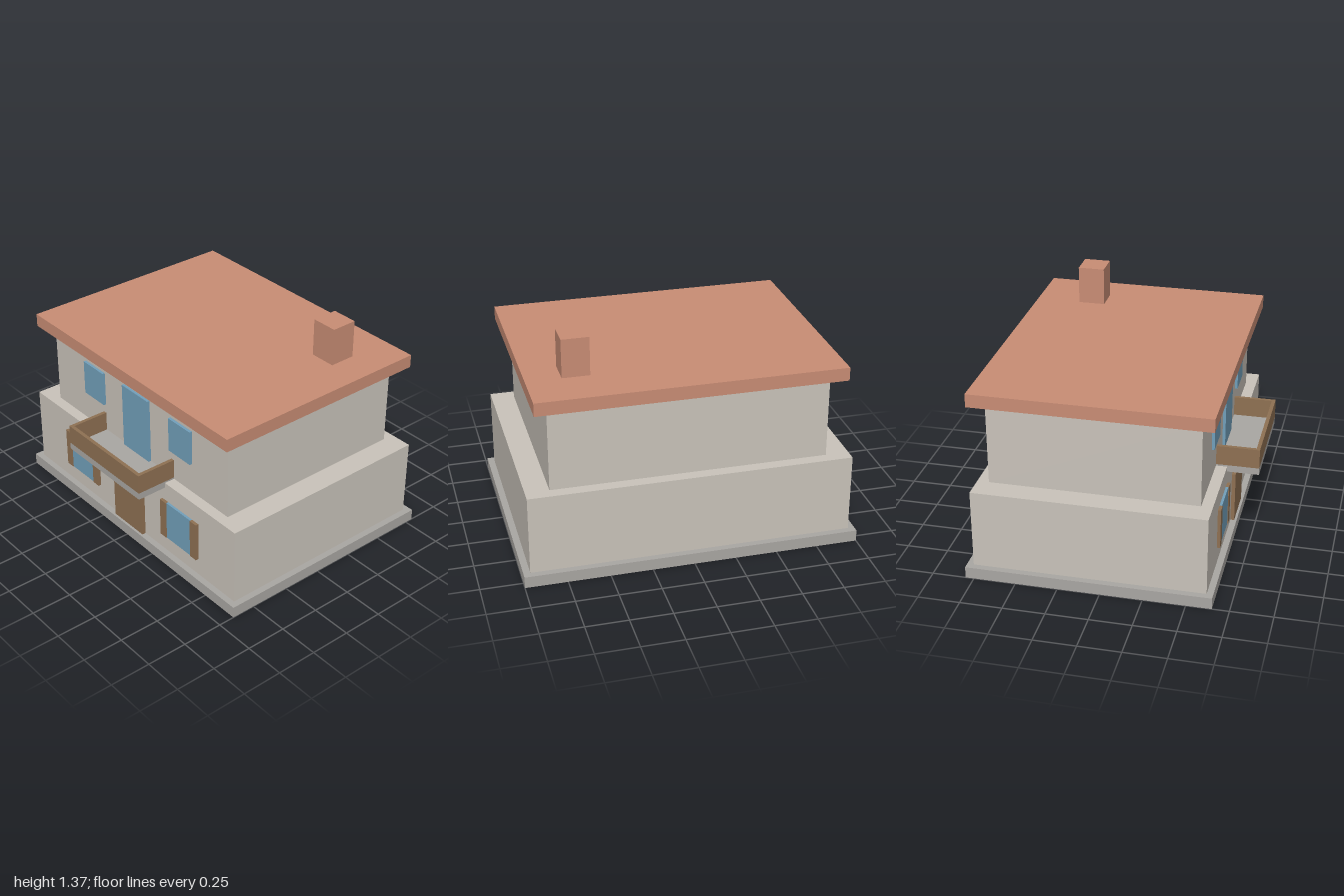
import * as THREE from 'three';

export function createModel() {
  const house = new THREE.Group();
  house.name = 'house';

  const material = (name, color) => {
    const m = new THREE.MeshStandardMaterial({ color });
    m.name = name;
    return m;
  };
  const plaster = material('plaster', 0xcac4bb);
  const stone = material('stone', 0xaaa7a3);
  const terracotta = material('terracotta', 0xc98d75);
  const wood = material('wood', 0x8f7153);
  const glass = material('glass', 0x72a0bb);

  // Box given by its extents along each axis
  const block = (name, mat, [x0, x1], [y0, y1], [z0, z1]) => {
    const mesh = new THREE.Mesh(new THREE.BoxGeometry(x1 - x0, y1 - y0, z1 - z0), mat);
    mesh.position.set((x0 + x1) / 2, (y0 + y1) / 2, (z0 + z1) / 2);
    mesh.name = name;
    house.add(mesh);
  };

  // Main volumes
  block('plinth', stone, [-1, 1], [0, 0.07], [-0.8, 0.65]);
  block('lowerStorey', plaster, [-0.96, 0.96], [0.07, 0.55], [-0.76, 0.612]);
  block('upperStorey', plaster, [-0.82, 0.82], [0.55, 1.06], [-0.69, 0.545]);
  block('roof', terracotta, [-0.902, 0.902], [1.06, 1.14], [-0.775, 0.625]);
  block('chimney', terracotta, [0.533, 0.695], [1.14, 1.372], [-0.502, -0.34]);

  // Doors
  block('frontDoor', wood, [-0.137, 0.137], [0.07, 0.388], [0.612, 0.635]);
  block('balconyDoor', glass, [-0.122, 0.122], [0.56, 0.975], [0.545, 0.562]);

  // Windows and shutters on both sides of the doors
  for (const [side, s] of [['left', 1], ['right', -1]]) {
    const span = (a, b) => (s > 0 ? [a, b] : [-b, -a]);
    block(side + 'UpperWindow', glass, span(0.315, 0.507), [0.742, 0.96], [0.545, 0.562]);
    block(side + 'LowerWindow', glass, span(0.368, 0.588), [0.18, 0.43], [0.612, 0.627]);
    block(side + 'InnerShutter', wood, span(0.313, 0.368), [0.18, 0.43], [0.612, 0.631]);
    block(side + 'OuterShutter', wood, span(0.588, 0.643), [0.18, 0.43], [0.612, 0.631]);
    block(side + 'BalconyRail', wood, span(0.318, 0.34), [0.56, 0.68], [0.545, 0.778]);
  }

  // Balcony floor and front parapet
  block('balconyFloor', stone, [-0.34, 0.34], [0.518, 0.56], [0.545, 0.8]);
  block('balconyFrontRail', wood, [-0.34, 0.34], [0.56, 0.68], [0.778, 0.8]);

  return house;
}
